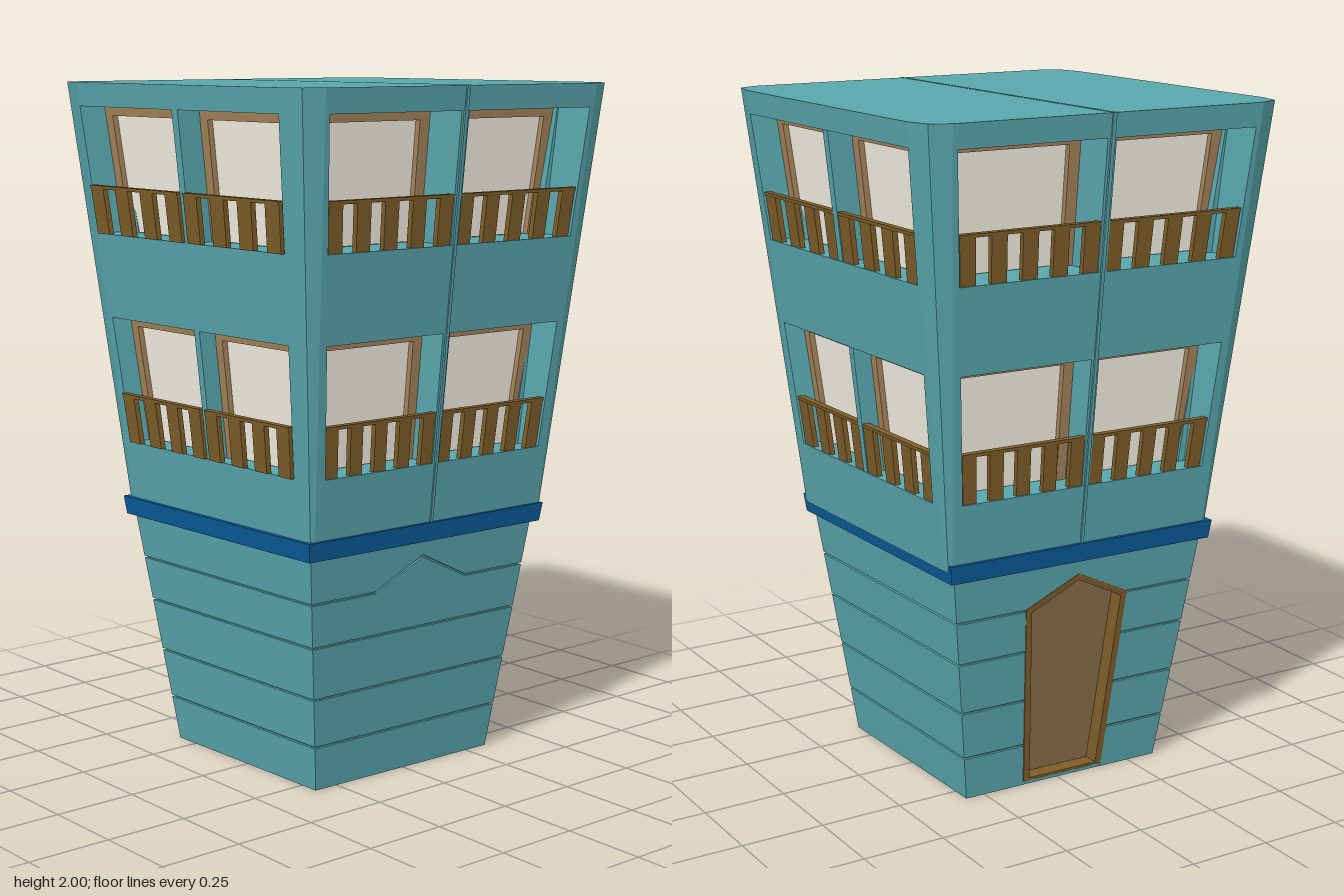
import * as THREE from 'three';

const mat = (color) => new THREE.MeshStandardMaterial({ color, flatShading: true, side: THREE.DoubleSide });
const M = {
  teal: mat(0x58a6ad), glass: mat(0xf7f2e5), frame: mat(0xa5835a),
  rail: mat(0x7e5e29), band: mat(0x0a5c9a), door: mat(0x8a6e4c),
};

// Outline rules: half widths of the upper storeys and of the ground floor by height
const rise = (y) => (y - 0.75) / 1.25;
const hx = (y) => 0.42 + 0.135 * rise(y);
const hz = (y) => 0.436 + 0.135 * rise(y);
const cutX = (y) => 0.02 + 0.08 * rise(y);
const cutZ = (y) => 0.015 + 0.062 * rise(y);
const lowX = (y) => 0.319 + 0.122 * y;
const lowZ = (y) => 0.327 + 0.125 * y;
const jamb = (y) => 0.135 + 0.064 * y;
const one = () => 1;

export function createModel() {
  const tower = new THREE.Group();
  tower.name = 'tower';

  const add = (geo, material, name) => {
    const g = geo.index ? geo.toNonIndexed() : geo;
    // Slight skew of the whole plan
    const p = g.attributes.position;
    for (let i = 0; i < p.count; i++) {
      const x = p.getX(i), z = p.getZ(i);
      p.setXYZ(i, x - 0.025 * z, p.getY(i), z - 0.025 * x);
    }
    g.computeVertexNormals();
    const mesh = new THREE.Mesh(g, material);
    mesh.name = name;
    tower.add(mesh);
  };
  // The ground floor sits a touch forward
  const addLow = (geo, material, name) => add(geo.translate(0, 0, 0.008), material, name);

  // Lays a flat piece (across, height, outward) on leaning side k: 0 front, 1 +x, 2 back, 3 -x
  const onSide = (geo, k, out, across) => {
    const p = geo.attributes.position;
    for (let i = 0; i < p.count; i++) {
      const y = p.getY(i);
      p.setXYZ(i, p.getX(i) * across(y), y, p.getZ(i) + out(y));
    }
    return geo.rotateY(k * Math.PI / 2);
  };

  const box = (x0, x1, y0, y1, z0, z1) => new THREE.BoxGeometry(x1 - x0, y1 - y0, z1 - z0)
    .translate((x0 + x1) / 2, (y0 + y1) / 2, (z0 + z1) / 2);
  const poly = (pts, Type = THREE.Shape) => new Type(pts.map(([x, y]) => new THREE.Vector2(x, y)));
  const rect = (x0, x1, y0, y1) => [[x0, y0], [x1, y0], [x1, y1], [x0, y1]];
  const extrude = (shape, z0, z1) => new THREE.ExtrudeGeometry(shape, { depth: z1 - z0, bevelEnabled: false })
    .translate(0, 0, z0);

  // Joins two rings of points [x, y, z] with quads
  const loft = (low, high, closed) => {
    const v = [];
    const n = low.length;
    for (let i = 0; i < (closed ? n : n - 1); i++) {
      const j = (i + 1) % n;
      v.push(...low[i], ...low[j], ...high[j], ...low[i], ...high[j], ...high[i]);
    }
    return new THREE.BufferGeometry().setAttribute('position', new THREE.Float32BufferAttribute(v, 3));
  };
  // Box that follows the ground floor's lean, grown by e
  const lowBox = (y0, y1, e) => {
    const g = box(-1, 1, y0, y1, -1, 1);
    const p = g.attributes.position;
    for (let i = 0; i < p.count; i++) {
      const y = p.getY(i);
      p.setXYZ(i, p.getX(i) * (lowX(y) + e), y, p.getZ(i) * (lowZ(y) + e));
    }
    return g;
  };

  // Ground floor boards, split round the pointed doorway (-x) and the gable (+x)
  const boards = (k, y0, y1, z0, z1, split, name) => {
    const out = k % 2 ? lowX : lowZ;
    const side = (y) => (k % 2 ? lowZ(y) : lowX(y)) + Math.min(z1, 0);
    const shapes = !split ? [[[-side(y0), y0], [side(y0), y0], [side(y1), y1], [-side(y1), y1]]]
      : [-1, 1].map((s) => {
        const inner = y1 > 0.66 ? [[jamb(0.575), 0.575], [0, 0.66], [0, y1]] : [[jamb(y1), y1]];
        if (y0 < 0.57) inner.unshift([jamb(y0), y0]);
        return [[side(y0), y0], ...inner, [side(y1), y1]].map(([x, y]) => [s * x, y]);
      });
    for (const pts of shapes) addLow(onSide(extrude(poly(pts), z0, z1), k, out, one), M.teal, name);
  };
  const seams = [0, 0.137, 0.285, 0.443, 0.575, 0.72];
  for (let k = 0; k < 4; k++) {
    boards(k, 0, 0.72, -0.025, -0.008, k === 3, 'groundFloorWall');
    for (let i = 0; i < 5; i++) {
      boards(k, seams[i], seams[i + 1] - 0.006, -0.01, 0, k === 3 || (k === 1 && i === 4), 'groundFloorTier');
    }
  }
  addLow(lowBox(0, 0.01, -0.001), M.teal, 'baseSlab');
  addLow(lowBox(0.705, 0.76, 0.019), M.band, 'blueBand');
  addLow(onSide(extrude(poly([[-0.168, 0.56], [0.168, 0.56], [0.168, 0.572], [0, 0.653], [-0.168, 0.572]]), -0.01, 0), 1, lowX, one), M.teal, 'gablePanel');

  // Recessed door with a wooden lining
  const doorway = (e) => [[-jamb(0) + e, 0.012], [jamb(0) - e, 0.012], [jamb(0.575) - e, 0.575 - e * 0.6],
    [0, 0.66 - e], [-jamb(0.575) + e, 0.575 - e * 0.6]];
  const lining = poly(doorway(0));
  lining.holes.push(poly(doorway(0.02).map(([x, y], i) => [x, i < 2 ? y + 0.008 : y]), THREE.Path));
  addLow(onSide(extrude(lining, -0.05, 0.002), 3, lowX, one), M.rail, 'doorFrame');
  addLow(onSide(extrude(poly(doorway(0.01)), -0.06, -0.045), 3, lowX, one), M.door, 'door');

  // Rounded corner posts, opening wider toward the roof
  const corner = (y, sx, sz) => {
    const x = hx(y), z = hz(y), a = cutX(y), b = cutZ(y);
    return [[x, z - b], [x - 0.25 * a, z - 0.25 * b], [x - a, z]].map(([u, w]) => [u * sx, y, w * sz]);
  };
  const signs = [[1, 1], [-1, 1], [-1, -1], [1, -1]];
  for (const [sx, sz] of signs) {
    const ends = [corner(0.74, sx, sz), corner(1.999, sx, sz)];
    if (sx * sz > 0) ends.reverse();
    add(loft(...ends, false), M.teal, 'cornerPost');
  }

  // Flat roof with a fine centre seam
  const outline = signs.flatMap(([sx, sz]) => {
    const pts = corner(1.999, sx, sz).map(([x, , z]) => [x, -z]);
    return sx * sz > 0 ? pts : pts.reverse();
  });
  add(new THREE.ShapeGeometry(poly(outline)).rotateX(-Math.PI / 2).translate(0, 1.999, 0), M.teal, 'roof');
  add(box(-0.556, 0.56, 1.99, 2, -0.005, 0.005), M.teal, 'roofSeam');

  // Two balcony storeys on all four sides
  const floors = [
    { y0: 0.935, y1: 1.31, railTop: 1.083, depths: [0.08, 0.11] },
    { y0: 1.56, y1: 1.93, railTop: 1.702, depths: [0.1, 0.15] },
  ];
  for (let k = 0; k < 4; k++) {
    const odd = k % 2;
    const out = odd ? hx : hz;
    const side = odd ? (y) => hz(y) - cutZ(y) : (y) => hx(y) - cutX(y);
    // Half width of the openings; pieces below are measured in this unit across
    const half = (y) => (odd ? 0.4 : 0.375) + 0.075 * (y - 0.93);
    const put = (geo, material, name) => add(onSide(geo, k, out, half), material, name);

    // Outer wall with the two openings
    const edge = (y) => side(y) / half(y);
    const wall = poly([[-edge(0.74), 0.74], [edge(0.74), 0.74], [edge(1.999), 1.999], [-edge(1.999), 1.999]]);
    for (const f of floors) wall.holes.push(poly(rect(-1, 1, f.y0, f.y1), THREE.Path));
    put(new THREE.ShapeGeometry(wall), M.teal, 'upperWall');

    // Narrow seam down the middle of the x sides
    if (odd) put(box(-0.012, 0.012, 0.76, 1.999, -0.01, 0.004), M.teal, 'wallSeam');

    // Only the front balustrades stand slightly proud of the wall
    const proud = k === 0 ? 0.01 : -0.003;
    for (const { y0, y1, railTop, depths } of floors) {
      const depth = depths[odd];
      const ring = (s, z) => rect(-s, s, y0, y1).map(([x, y]) => [x, y, z]);
      put(loft(ring(0.97, -depth), ring(1, 0), true), M.teal, 'alcoveLining');
      put(box(-0.97, 0.97, y0, y1, -depth - 0.004, -depth), M.teal, 'alcoveBack');
      put(box(-0.03, 0.03, y0, y1, -depth, -0.002), M.teal, 'middlePillar');

      for (const s of [-1, 1]) {
        // Window reaching the floor, framed on three sides
        const a = s < 0 ? -0.97 : 0.03;
        const b = a + 0.94;
        const top = y1 - 0.001;
        const frame = poly([[a, y0], [a + 0.075, y0], [a + 0.075, top - 0.027], [b - 0.075, top - 0.027],
          [b - 0.075, y0], [b, y0], [b, top], [a, top]]);
        put(extrude(frame, -depth, -depth + 0.025), M.frame, 'windowFrame');
        put(box(a + 0.05, b - 0.05, y0 + 0.002, y1 - 0.01, -depth, -depth + 0.008), M.glass, 'windowPane');

        // Balustrade: thin top rail and wide slats
        const r0 = s < 0 ? -0.99 : 0.03;
        const r1 = r0 + 0.96;
        put(box(r0, r1, railTop - 0.01, railTop, proud - 0.022, proud), M.rail, 'handRail');
        const count = odd ? 5 : 4;
        const step = 0.96 / (2 * count - 1);
        for (let i = 0; i < count; i++) {
          const x = r0 + 2 * i * step;
          put(box(x, x + step, y0, railTop - 0.008, proud - 0.018, proud - 0.002), M.rail, 'railSlat');
        }
      }
    }
  }
  return tower;
}
